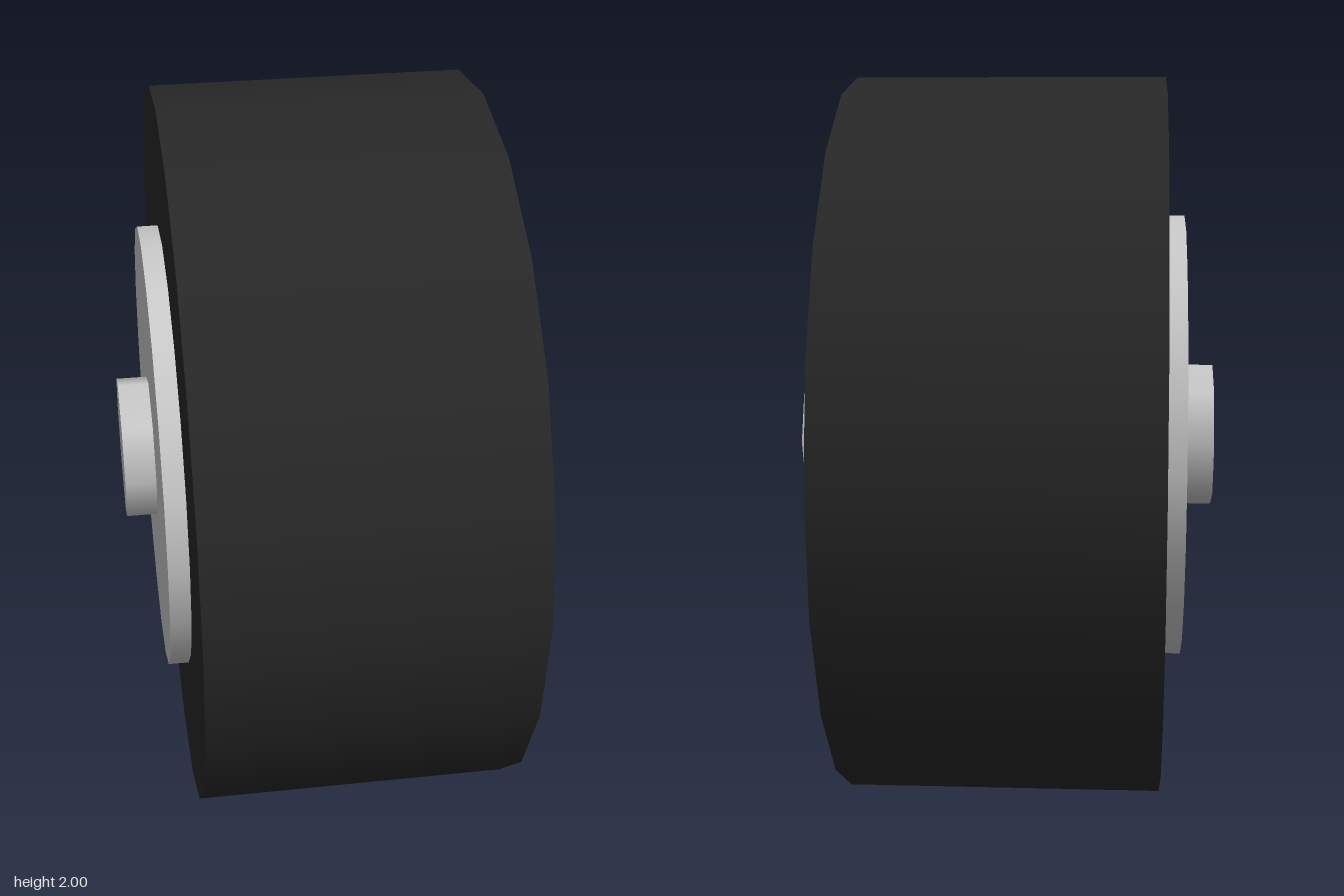
import * as THREE from 'three';

export function createModel() {
  const wheel = new THREE.Group();
  wheel.name = 'wheel';

  const rubber = new THREE.MeshStandardMaterial({ color: 0x282828 });
  const metal = new THREE.MeshStandardMaterial({ color: 0xcccccc });

  // Capped cylinder lying along x, centred on the wheel's axis
  const addDisc = (name, radius, width, sides, material) => {
    const geometry = new THREE.CylinderGeometry(radius, radius, width, sides);
    geometry.rotateZ(Math.PI / 2);
    const mesh = new THREE.Mesh(geometry, material);
    mesh.name = name;
    mesh.position.y = 1;
    wheel.add(mesh);
  };

  addDisc('tyre', 1, 0.857, 20, rubber);
  // Hub and axle run right through and stand out on both sides
  addDisc('hub', 0.62, 0.97, 20, metal);
  addDisc('axle', 0.2, 1.14, 8, metal);

  return wheel;
}
